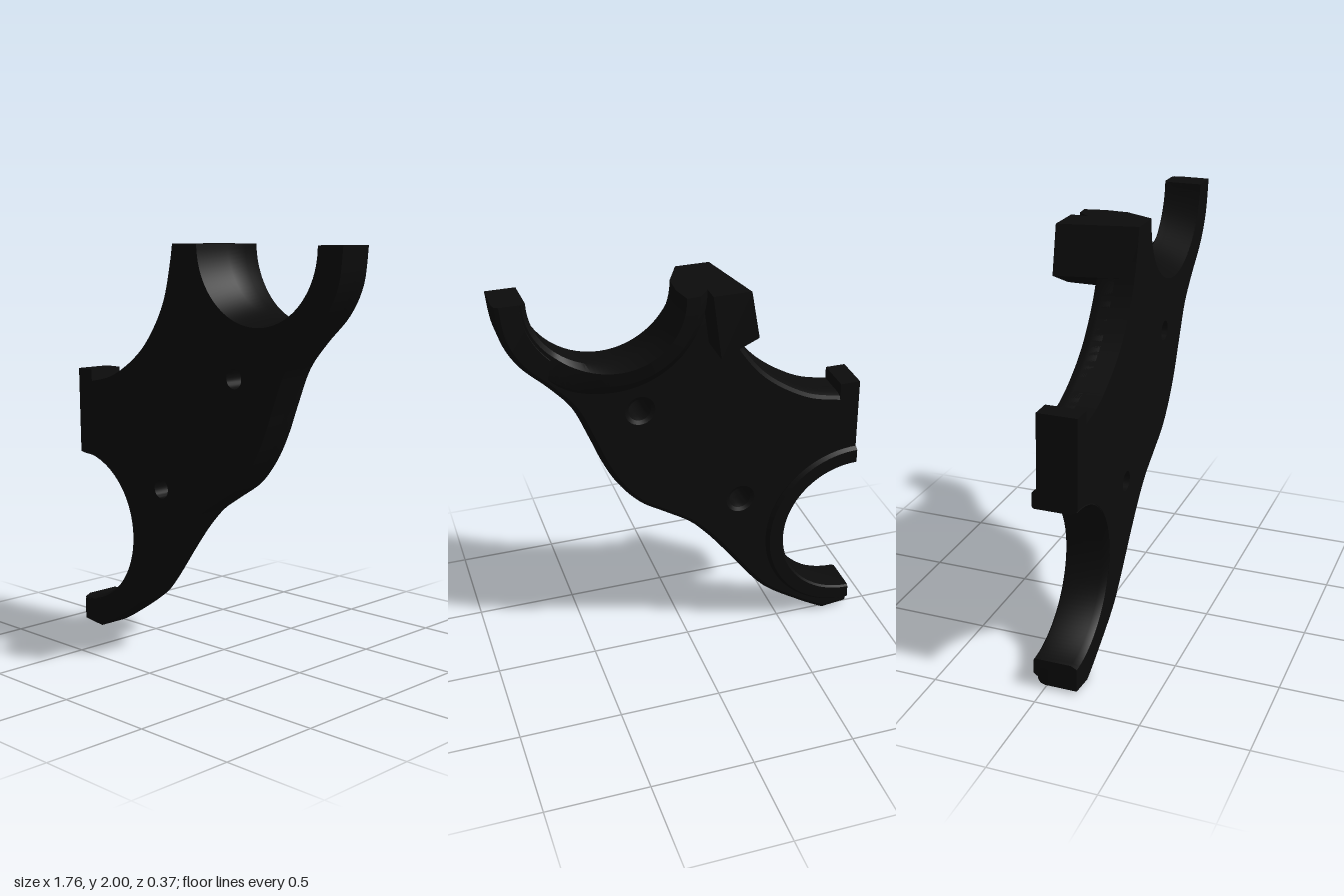
import * as THREE from 'three';
import { toCreasedNormals } from 'three/addons/utils/BufferGeometryUtils.js';

const FRONT = 0.17, BACK = -0.02;
const V = (x, y) => new THREE.Vector2(x, y);
const spline = (pts, n) => new THREE.SplineCurve(pts.map(p => V(...p))).getPoints(n);
const arc = (x, y, r, a, b, n = 40) => Array.from({ length: n + 1 }, (_, i) => {
  const t = a + (b - a) * i / n;
  return V(x + r * Math.cos(t), y + r * Math.sin(t));
});

// Plate outline, overshooting the two straight cut ends (x = -0.88, y = 2)
function plateShape() {
  const lowerEdge = spline([[-0.75, 0.005], [-0.65, 0.06], [-0.45, 0.19], [-0.35, 0.29], [-0.2, 0.49],
    [-0.1, 0.615], [0, 0.715], [0.13, 0.8], [0.25, 0.88], [0.35, 1.0], [0.42, 1.13], [0.48, 1.28],
    [0.55, 1.44], [0.65, 1.56], [0.78, 1.69], [0.855, 1.83], [0.88, 2]], 80);
  const upperEdge = spline([[-0.16, 2], [-0.225, 1.74], [-0.33, 1.56], [-0.45, 1.44], [-0.62, 1.34], [-0.78, 1.3]], 40);
  const shape = new THREE.Shape([
    V(-0.92, 0.022), V(-0.88, 0.02), ...lowerEdge, V(0.88, 2.04), V(0.74, 2.04),
    ...arc(0.37, 2, 0.37, 0, -Math.PI), V(0, 2.04), V(-0.16, 2.04), ...upperEdge,
    V(-0.92, 1.3), V(-0.92, 0.93), ...arc(-0.88, 0.53, 0.4, Math.PI / 2, -Math.PI / 2), V(-0.92, 0.13),
  ]);
  for (const [x, y] of [[0.235, 1.39], [-0.27, 0.805]])
    shape.holes.push(new THREE.Path(arc(x, y, 0.048, 0, -Math.PI * 2, 28).slice(0, -1)));
  return shape;
}

// Trim an extrusion flat at the cut ends
function trim(geo) {
  const p = geo.attributes.position;
  for (let i = 0; i < p.count; i++) p.setXY(i, Math.max(p.getX(i), -0.88), Math.min(p.getY(i), 2));
  return geo;
}

// Sweep a changing cross-section of [x, y, z] points, with flat end caps
function loft(section, a, b, steps = 48) {
  const pos = [], idx = [];
  let n = 0;
  for (let i = 0; i <= steps; i++) {
    const pts = section(a + (b - a) * i / steps);
    n = pts.length;
    pts.forEach(p => pos.push(...p));
  }
  for (let i = 0; i < steps; i++) for (let j = 0; j < n; j++) {
    const k = (j + 1) % n, p = i * n + j, q = i * n + k;
    idx.push(p, p + n, q, q, p + n, q + n);
  }
  const e = steps * n;
  for (let j = 1; j < n - 1; j++) idx.push(0, j, j + 1, e, e + j + 1, e + j);
  const geo = new THREE.BufferGeometry();
  geo.setAttribute('position', new THREE.Float32BufferAttribute(pos, 3));
  geo.setIndex(idx);
  return geo;
}

export function createModel() {
  const group = new THREE.Group();
  const black = new THREE.MeshStandardMaterial({ color: 0x0c0c0c });
  black.name = 'matte black';

  function add(name, geo) {
    const g = geo.index ? geo.toNonIndexed() : geo;
    const p = g.attributes.position;
    // Whole piece leans very slightly forward
    for (let i = 0; i < p.count; i++) p.setZ(i, p.getZ(i) + 0.0145 * (p.getY(i) - 1));
    const mesh = new THREE.Mesh(toCreasedNormals(g, 0.5), black);
    mesh.name = name;
    group.add(mesh);
  }

  // Plate: straight front layer and chamfered back layer
  const shape = plateShape();
  add('plateFront', trim(new THREE.ExtrudeGeometry(shape, { depth: FRONT - 0.03, bevelEnabled: false }).translate(0, 0, 0.03)));
  add('plateBack', trim(new THREE.ExtrudeGeometry(shape, {
    depth: 0.06, bevelThickness: 0.035, bevelSize: 0.025, bevelOffset: -0.025, bevelSegments: 2,
  }).translate(0, 0, BACK + 0.035)));

  // Upper collar: flared bowl whose back rim falls away towards the arm
  add('upperCollar', loft(t => {
    const c = Math.cos(t), s = Math.sin(t);
    const at = (r, z, cx = 0.405) => [cx + r * c, 2 + r * s, z];
    const u = THREE.MathUtils.clamp((0.405 + 0.4 * c) / 0.66, 0, 1);
    const rim = -0.18 + 0.16 * Math.pow(u, 1.5);
    const out = 0.485 - 0.02 * Math.max(c, 0);
    return [at(0.37, FRONT, 0.37), at(0.335, 0.03), at(0.33, -0.08 + 0.07 * u), at(0.35, rim),
      at(out - 0.07, rim + 0.005), at(out - 0.02, rim * 0.65), at(out, Math.min(rim * 0.3, -0.005)),
      at(out - 0.02, 0.06), at(0.42, 0.15)];
  }, Math.PI, Math.PI * 2));

  // Lower collar: shallow raised rim
  add('lowerCollar', loft(t => [[0.395, FRONT], [0.38, 0.14], [0.38, -0.035], [0.39, -0.043],
    [0.455, -0.043], [0.47, -0.025], [0.465, 0.08], [0.42, 0.15]].map(
    ([r, z]) => [-0.88 + r * Math.cos(t), 0.53 + r * Math.sin(t), z]), -Math.PI / 2, Math.PI / 2));

  // Boss beside the upper collar, its outer side slanting in towards the front
  const bossShape = new THREE.Shape([V(-0.24, 2), V(-0.28, 1.77), V(-0.1, 1.69), V(-0.06, 2)]);
  const boss = new THREE.ExtrudeGeometry(bossShape, { depth: FRONT + 0.198, bevelEnabled: false }).translate(0, 0, -0.198);
  const bp = boss.attributes.position;
  for (let i = 0; i < bp.count; i++)
    if (bp.getX(i) < -0.2) bp.setX(i, bp.getX(i) + 0.21 * (bp.getZ(i) + 0.198));
  add('boss', boss);

  // Upright tab on the side cut
  add('sideTab', new THREE.BoxGeometry(0.1, 0.2, FRONT - BACK).translate(-0.83, 1.26, (FRONT + BACK) / 2));

  return group;
}
